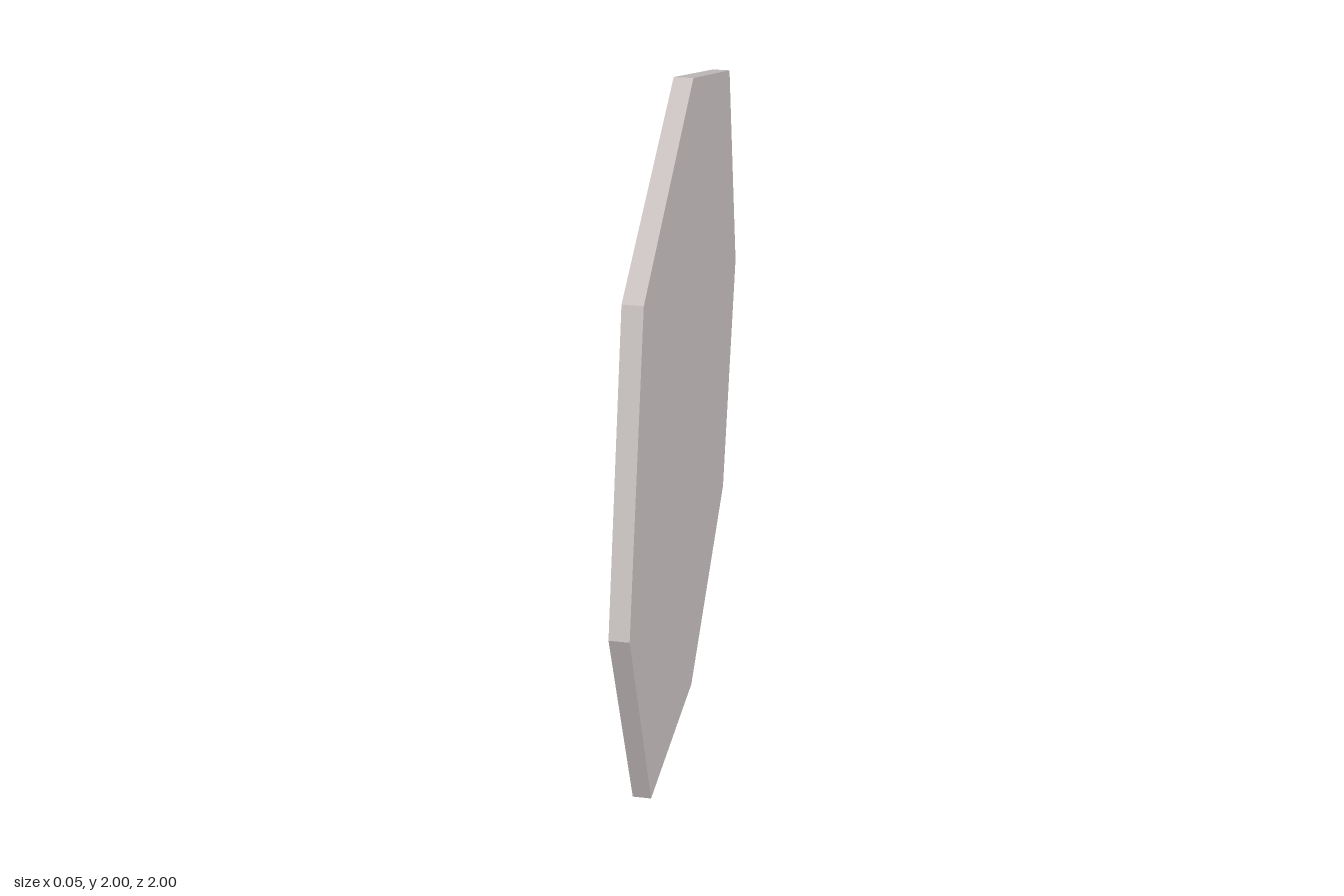
import * as THREE from 'three';

// Eight-cornered outline: four corners on the axes, four on the diagonals
function octagon(size, PathType = THREE.Shape) {
  const path = new PathType();
  for (let i = 0; i < 8; i++) {
    const r = size * (i % 2 ? 0.75 * Math.SQRT2 : 1);
    const a = (i * Math.PI) / 4;
    const x = r * Math.cos(a), y = r * Math.sin(a);
    if (i === 0) path.moveTo(x, y);
    else path.lineTo(x, y);
  }
  path.closePath();
  return path;
}

export function createModel() {
  const group = new THREE.Group();
  group.name = 'target';

  const grey = new THREE.MeshStandardMaterial({ color: 0xc8c1c0 });
  grey.name = 'pale grey';
  const red = new THREE.MeshStandardMaterial({ color: 0xb01212 });
  red.name = 'dark red';

  const halfThickness = 0.025;
  const step = 0.006;

  // Extrudes an octagon (with optional hole) towards -x, starting at startX
  function addLayer(name, outer, inner, startX, depth, materials) {
    const shape = octagon(outer);
    if (inner) shape.holes.push(octagon(inner, THREE.Path));
    const geometry = new THREE.ExtrudeGeometry(shape, { depth, bevelEnabled: false });
    geometry.rotateY(-Math.PI / 2);
    const mesh = new THREE.Mesh(geometry, materials);
    mesh.name = name;
    mesh.position.set(startX, 1, 0);
    group.add(mesh);
  }

  // Board, whose face shows as the grey rings
  addLayer('board', 1, 0, halfThickness, 2 * halfThickness - step, grey);

  // Raised red rings and bullseye, with grey edges
  const rings = [
    ['outerRing', 1, 0.75],
    ['middleRing', 0.5, 0.25],
    ['bullseye', 0.125, 0],
  ];
  for (const [name, outer, inner] of rings) {
    addLayer(name, outer, inner, -halfThickness + step, step, [red, grey]);
  }

  return group;
}
